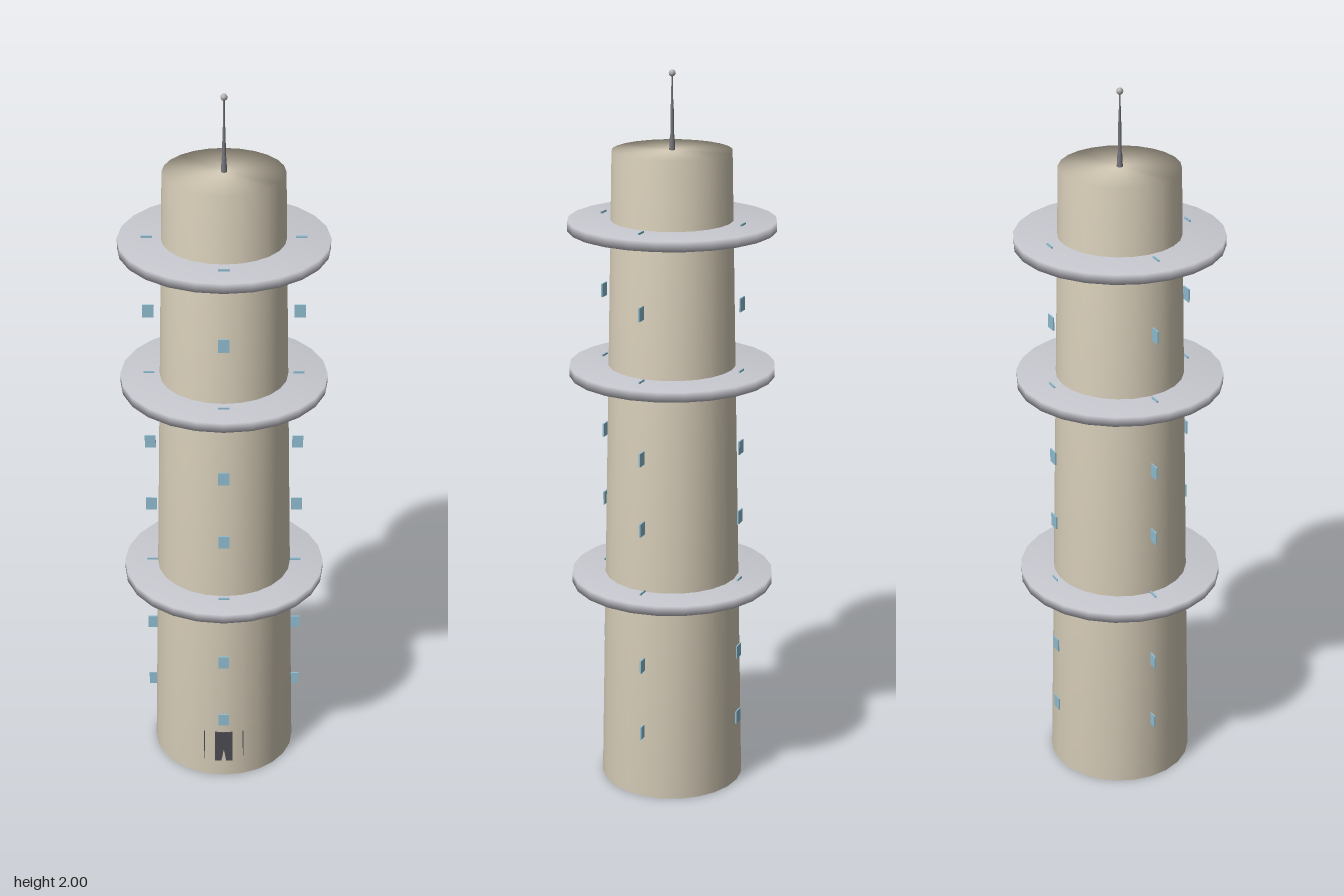
import * as THREE from 'three';
import { mergeVertices } from 'three/addons/utils/BufferGeometryUtils.js';

const material = (name, color) => Object.assign(new THREE.MeshStandardMaterial({ color }), { name });

// Capped drum whose normals are shared between the caps and the side
function softDrum(top, bottom, height, sides) {
  const g = new THREE.CylinderGeometry(top, bottom, height, sides);
  g.deleteAttribute('normal');
  g.deleteAttribute('uv');
  const merged = mergeVertices(g, 1e-4);
  merged.computeVertexNormals();
  return merged;
}

export function createModel() {
  const model = new THREE.Group();
  model.name = 'tower';
  const stone = material('warm stone', 0xd9cfba);
  const deckGrey = material('deck grey', 0xc8c8d0);
  const glass = material('window blue', 0x8fbdd0);
  const dark = material('door dark', 0x4c4a54);
  const metal = material('antenna grey', 0x77757c);
  const tipColor = material('tip grey', 0xb4b0ac);

  const add = (name, geometry, mat, x, y, z, parent = model) => {
    const mesh = new THREE.Mesh(geometry, mat);
    mesh.name = name;
    mesh.position.set(x, y, z);
    parent.add(mesh);
    return mesh;
  };

  // Tapering shaft
  const height = 1.79;
  add('shaft', softDrum(0.16, 0.2, height, 24), stone, 0, height / 2, 0);

  // Three round decks
  const deck = softDrum(0.279, 0.279, 0.027, 24);
  for (const y of [0.597, 1.194, 1.592]) add('deck', deck, deckGrey, 0, y, 0);

  // Eight rows of small window plates, all facing front and back
  const windows = new THREE.Group();
  windows.name = 'windows';
  model.add(windows);
  const pane = new THREE.BoxGeometry(0.03, 0.037, 0.004);
  for (let row = 1; row <= 8; row++) {
    const y = row * 0.199;
    for (const [x, z] of [[0, 0.202], [0, -0.202], [0.202, 0], [-0.202, 0]]) {
      add('window', pane, glass, x, y, z, windows);
    }
  }

  // Door almost flush with the wall, between two slim posts
  add('door', new THREE.BoxGeometry(0.05, 0.1, 0.02), dark, 0, 0.1, 0.188);
  for (const side of [-1, 1]) {
    add('doorPost', new THREE.BoxGeometry(0.003, 0.1, 0.02), dark, side * 0.055, 0.1, 0.18);
  }

  // Antenna: base, stepped mast and round tip
  add('antennaBase', new THREE.CylinderGeometry(0.006, 0.008, 0.04, 12), metal, 0, 1.81, 0);
  add('antennaMast', new THREE.CylinderGeometry(0.004, 0.005, 0.09, 12), metal, 0, 1.865, 0);
  add('antennaRod', new THREE.CylinderGeometry(0.002, 0.003, 0.09, 12), metal, 0, 1.95, 0);
  add('antennaTip', new THREE.SphereGeometry(0.009, 16, 12), tipColor, 0, 1.991, 0);

  return model;
}
